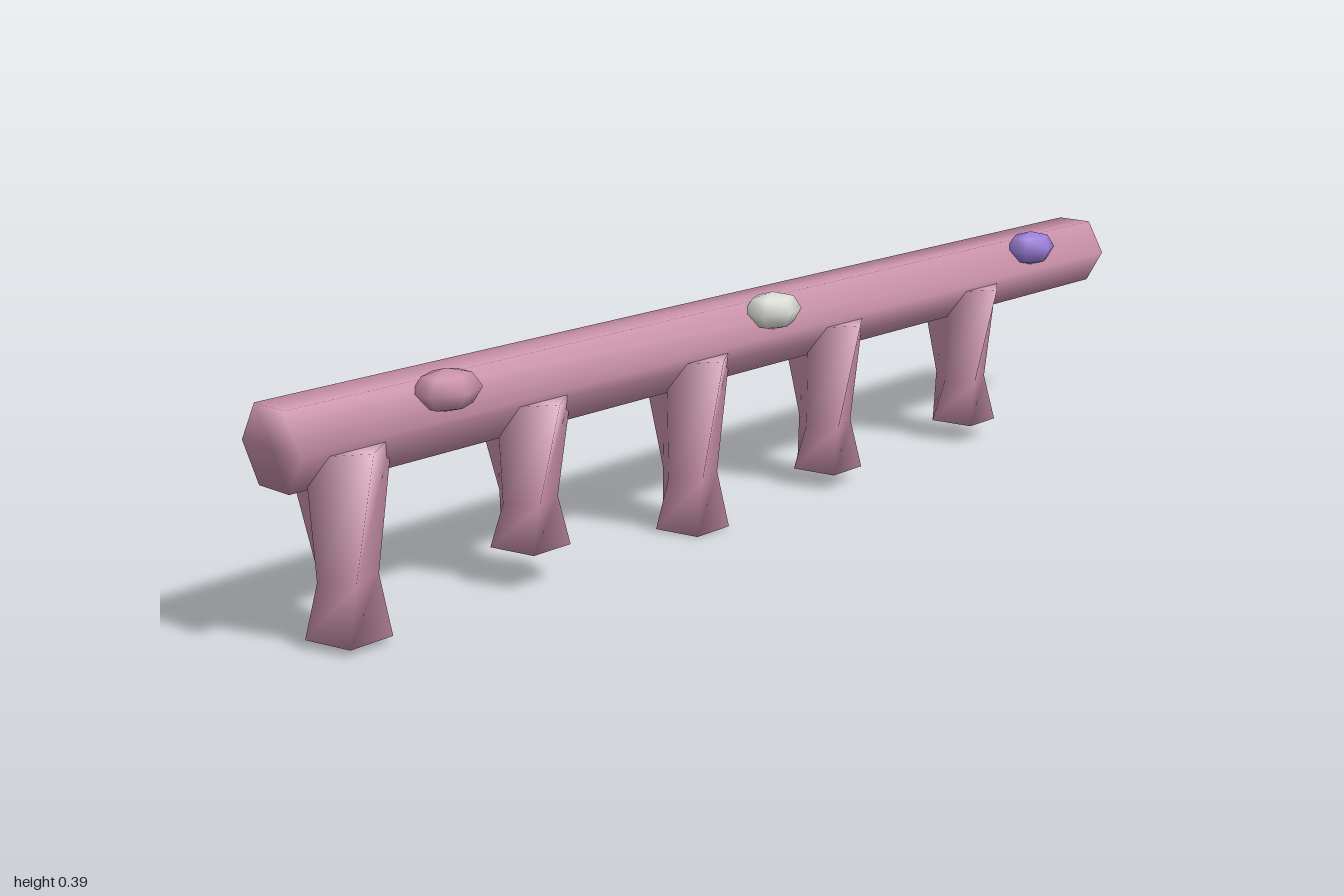
import * as THREE from 'three';
import { mergeVertices } from 'three/addons/utils/BufferGeometryUtils.js';

// Share corners between faces so the whole shape shades softly
function soften(geometry) {
  geometry.deleteAttribute('uv');
  geometry.deleteAttribute('normal');
  const merged = mergeVertices(geometry, 1e-4);
  merged.computeVertexNormals();
  return merged;
}

// Five-sided leg: three rings, each turned a little further than the last
function legGeometry(bottom) {
  const top = 0.3, height = top - bottom;
  const rings = [
    { y: top, r: 0.081, z: 0.002, turn: 0, tilt: 0 },
    { y: top - 0.69 * height, r: 0.049, z: 0.001, turn: -Math.PI / 10, tilt: 0.08 },
    { y: bottom, r: 0.066, z: 0.004, turn: -Math.PI / 5, tilt: 0.05 },
  ];
  const positions = [], index = [], n = 5;
  for (const ring of rings) {
    for (let i = 0; i < n; i++) {
      const a = ring.turn + (i / n) * Math.PI * 2;
      const z = Math.cos(a) * ring.r;
      positions.push(Math.sin(a) * ring.r, ring.y - z * ring.tilt, ring.z + z);
    }
  }
  for (let k = 0; k < rings.length - 1; k++) {
    for (let i = 0; i < n; i++) {
      const a = k * n + i, b = k * n + (i + 1) % n;
      index.push(a, a + n, b, b, a + n, b + n);
    }
  }
  // Top and bottom caps
  const last = (rings.length - 1) * n;
  for (let i = 1; i < n - 1; i++) {
    index.push(0, i, i + 1);
    index.push(last, last + i + 1, last + i);
  }
  const geometry = new THREE.BufferGeometry();
  geometry.setAttribute('position', new THREE.Float32BufferAttribute(positions, 3));
  geometry.setIndex(index);
  geometry.computeVertexNormals();
  return geometry;
}

export function createModel() {
  const model = new THREE.Group();
  model.name = 'leggedBeam';

  const material = (name, color) => {
    const m = new THREE.MeshStandardMaterial({ color });
    m.name = name;
    return m;
  };
  const pink = material('dustyPink', 0xc991a9);
  const white = material('offWhite', 0xdcdcd6);
  const purple = material('purple', 0x9a7fd8);

  const add = (name, geometry, mat, x, y, z) => {
    const mesh = new THREE.Mesh(geometry, mat);
    mesh.name = name;
    mesh.position.set(x, y, z);
    model.add(mesh);
  };

  // Hexagonal beam lying along x, flat side up
  const beam = new THREE.CylinderGeometry(0.07, 0.07, 2, 6);
  beam.rotateZ(Math.PI / 2);
  add('beam', soften(beam), pink, 0, 0.31, -0.017);

  // Legs: position along the beam and height of the foot
  const legs = [[-0.9, 0.013], [-0.545, 0.064], [-0.178, 0.003], [0.178, 0.03], [0.59, 0.036]];
  legs.forEach(([x, bottom], i) => add(`leg${i + 1}`, legGeometry(bottom), pink, x, 0, 0));

  // Faceted studs along the upper front edge
  const stud = new THREE.SphereGeometry(1, 6, 4);
  stud.rotateY(Math.PI / 2);
  stud.scale(0.057, 0.033, 0.046);
  const studGeometry = soften(stud);
  add('pinkStud', studGeometry, pink, -0.73, 0.353, 0.042);
  add('whiteStud', studGeometry, white, -0.01, 0.353, 0.042);
  add('purpleStud', studGeometry, purple, 0.756, 0.353, 0.042);

  return model;
}
